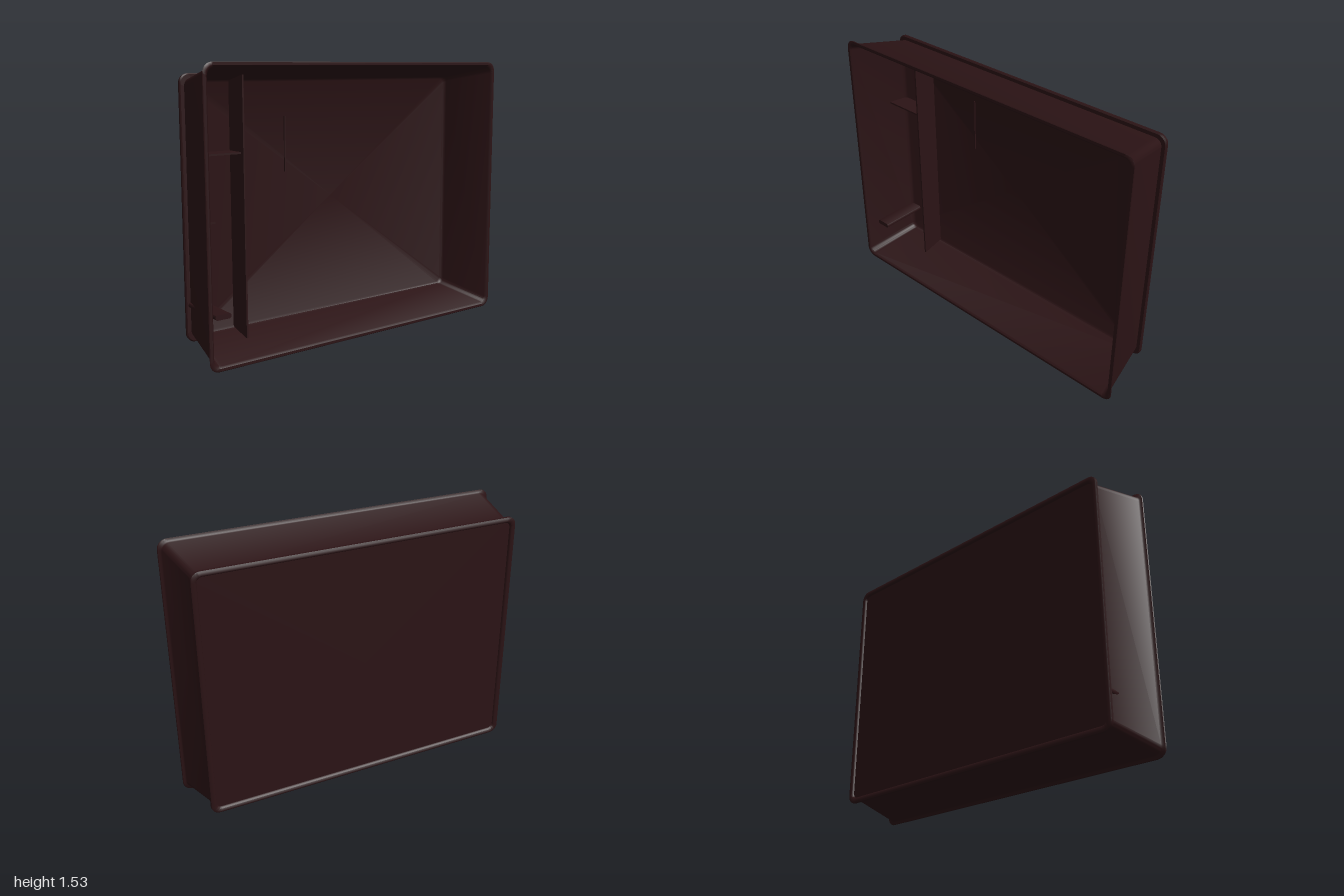
import * as THREE from 'three';
import { toCreasedNormals } from 'three/addons/utils/BufferGeometryUtils.js';

const CENTER_Y = 0.768;
const material = new THREE.MeshStandardMaterial({ color: 0x2b1315 });

// Rounded rectangle outline, counter-clockwise seen from +z
function roundedRing([halfW, halfH, radius, z]) {
  const points = [];
  const steps = 8;
  for (let corner = 0; corner < 4; corner++) {
    const sx = corner === 0 || corner === 3 ? 1 : -1;
    const sy = corner < 2 ? 1 : -1;
    for (let i = 0; i <= steps; i++) {
      const a = (corner + i / steps) * Math.PI / 2;
      points.push([
        sx * (halfW - radius) + radius * Math.cos(a),
        CENTER_Y + sy * (halfH - radius) + radius * Math.sin(a),
        z,
      ]);
    }
  }
  return points;
}

// Skin a series of rings; zero-size end rings close the surface
function loft(sections) {
  const rings = sections.map(roundedRing);
  const pos = [];
  for (let i = 0; i < rings.length - 1; i++) {
    const n = rings[i].length;
    for (let j = 0; j < n; j++) {
      const k = (j + 1) % n;
      const a = rings[i][j], b = rings[i][k], c = rings[i + 1][k], d = rings[i + 1][j];
      if (sections[i][0] > 0) pos.push(...a, ...b, ...c);
      if (sections[i + 1][0] > 0) pos.push(...a, ...c, ...d);
      else if (sections[i][0] > 0) continue;
    }
  }
  const g = new THREE.BufferGeometry();
  g.setAttribute('position', new THREE.Float32BufferAttribute(pos, 3));
  return toCreasedNormals(g, 0.7);
}

export function createModel() {
  const model = new THREE.Group();
  const add = (name, geometry, x = 0, y = 0, z = 0) => {
    const mesh = new THREE.Mesh(geometry, material);
    mesh.name = name;
    mesh.position.set(x, y, z);
    model.add(mesh);
    return mesh;
  };

  // Tapered tray: recessed back, back flange, sloped walls, front lip, hollow inside
  // each section: half width, half height, corner radius, z
  add('tray', loft([
    [0, 0, 0, -0.172],
    [0.912, 0.677, 0.03, -0.172],
    [0.915, 0.68, 0.03, -0.181],
    [0.92, 0.685, 0.035, -0.185],
    [0.938, 0.703, 0.045, -0.185],
    [0.944, 0.709, 0.05, -0.181],
    [0.945, 0.71, 0.05, -0.168],
    [0.94, 0.705, 0.05, -0.162],
    [0.92, 0.685, 0.04, -0.162],
    [0.979, 0.747, 0.045, 0.168],
    [0.985, 0.753, 0.05, 0.174],
    [0.997, 0.764, 0.055, 0.177],
    [1.0, 0.767, 0.055, 0.182],
    [0.997, 0.764, 0.055, 0.185],
    [0.982, 0.75, 0.045, 0.185],
    [0.972, 0.74, 0.04, 0.176],
    [0.914, 0.679, 0.035, -0.142],
    [0.908, 0.674, 0.035, -0.154],
    [0.895, 0.662, 0.03, -0.16],
    [0, 0, 0, -0.16],
  ]));

  // Upright divider, its ends following the wall slope
  const side = new THREE.Shape([
    new THREE.Vector2(0.165, 0.1), new THREE.Vector2(0.02, 0.064),
    new THREE.Vector2(0.02, 1.472), new THREE.Vector2(0.165, 1.436),
  ]);
  const divider = new THREE.ExtrudeGeometry(side, { depth: 0.01, bevelEnabled: false });
  divider.rotateY(Math.PI / 2);
  add('divider', divider, -0.665);

  // Small shelf between divider and side wall
  const shelfShape = new THREE.Shape([
    new THREE.Vector2(-0.912, 0.165), new THREE.Vector2(-0.66, 0.165),
    new THREE.Vector2(-0.66, 0.045), new THREE.Vector2(-0.932, 0.045),
  ]);
  const shelf = new THREE.ExtrudeGeometry(shelfShape, { depth: 0.01, bevelEnabled: false });
  shelf.rotateX(-Math.PI / 2);
  add('shelf', shelf, 0, 1.06);

  // Flat bar with rounded edges, reaching forward from the back
  const barShape = new THREE.Shape();
  barShape.absarc(0.032, 0, 0.014, -Math.PI / 2, Math.PI / 2);
  barShape.absarc(-0.032, 0, 0.014, Math.PI / 2, Math.PI * 1.5);
  const bar = new THREE.ExtrudeGeometry(barShape, { depth: 0.295, bevelEnabled: false, curveSegments: 8 });
  add('supportBar', toCreasedNormals(bar, 0.7), -0.887, 0.264, -0.165);

  // Thin trim on the inner back panel
  add('backStrip', new THREE.BoxGeometry(0.008, 0.31, 0.014), -0.317, 1.085, -0.159);
  add('smallTab', new THREE.BoxGeometry(0.03, 0.01, 0.014), -0.78, 0.69, -0.159);

  return model;
}
